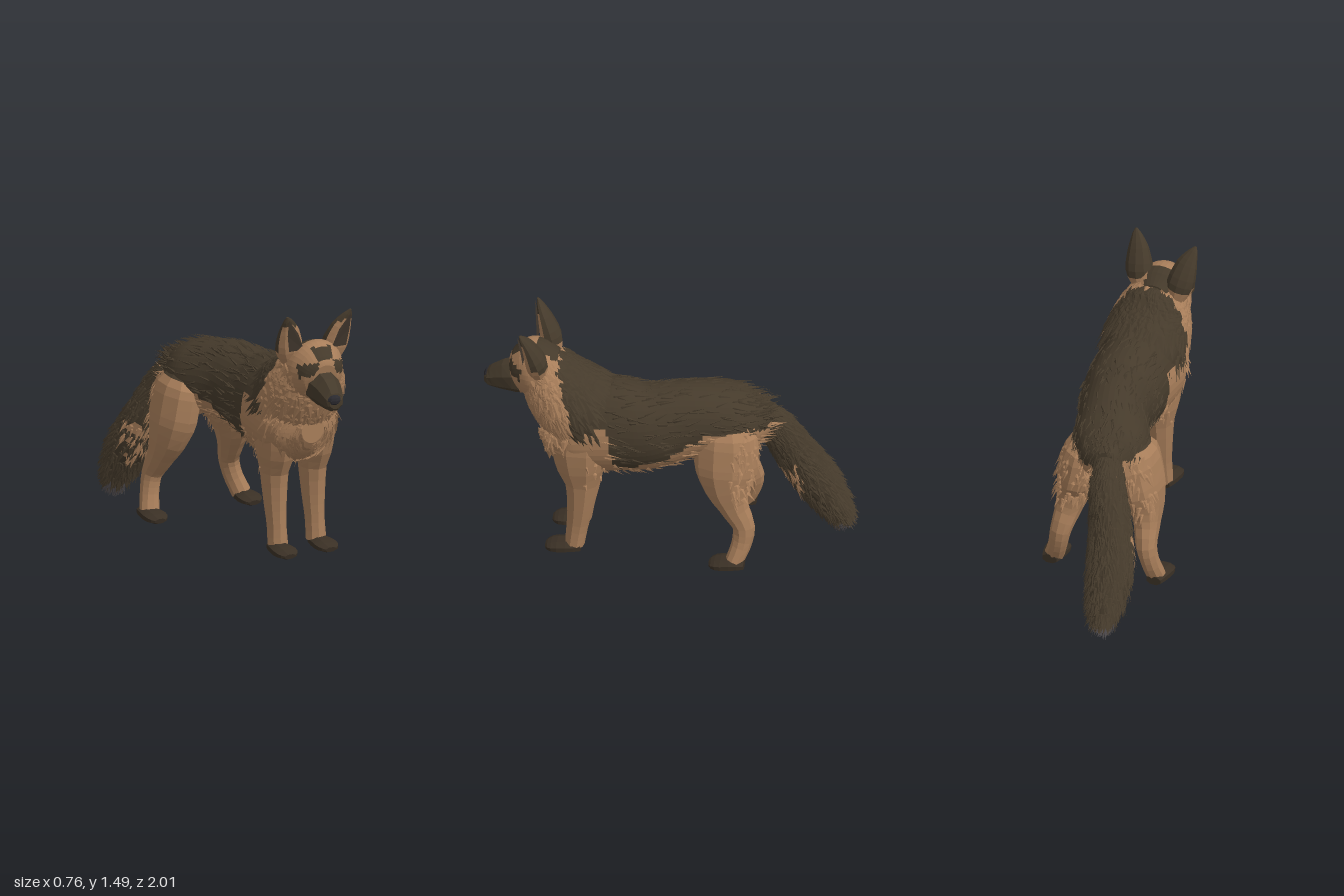
import * as THREE from 'three';

const mat = (name, color) => Object.assign(
  new THREE.MeshStandardMaterial({ color, flatShading: true, side: THREE.DoubleSide }), { name });
const MATS = [
  mat('tan coat', 0xa87e5a), mat('dark coat', 0x453a2b), mat('nose black', 0x2b2a2f),
  mat('paw brown', 0x3a3025), mat('ear lining', 0x40362c), mat('tail tip grey', 0x4a4648),
];
const [TAN, DARK, NOSE, PAW, LINING, GREY] = [0, 1, 2, 3, 4, 5];

// Seeded random numbers for the fur
let seed = 7;
const rnd = () => (seed = (seed * 16807) % 2147483647) / 2147483647;
const vec = (x, y, z) => new THREE.Vector3(x, y, z);

// Straight-line interpolation through [key, value] pairs
function ramp(points, k) {
  for (let i = 1; i < points.length; i++) {
    const [a, va] = points[i - 1], [b, vb] = points[i];
    if (k <= b) return va + (vb - va) * Math.max(0, (k - a) / (b - a));
  }
  return points[points.length - 1][1];
}

// Collects triangles by colour and makes one mesh with material groups
function meshFrom(name, buckets) {
  const g = new THREE.BufferGeometry(), all = [], used = [];
  buckets.forEach((tri, m) => {
    if (!tri.length) return;
    g.addGroup(all.length / 3, tri.length, used.length);
    used.push(MATS[m]);
    tri.forEach(p => all.push(p.x, p.y, p.z));
  });
  g.setAttribute('position', new THREE.Float32BufferAttribute(all, 3));
  g.computeVertexNormals();
  const mesh = new THREE.Mesh(g, used);
  mesh.name = name;
  return mesh;
}

// Skin over oval rings; stations are [x, y, z, halfWidth, halfDepth].
// rule(point) picks the colour; each entry of furs scatters pointed tufts.
function loft(name, stations, rings, sides, rule, furs = []) {
  const path = new THREE.CatmullRomCurve3(stations.map(s => vec(s[0], s[1], s[2])));
  const size = new THREE.CatmullRomCurve3(stations.map(s => vec(s[3], s[4], 0)));
  const frame = u => {
    const t = path.getTangent(u), side = vec(1, 0, 0).addScaledVector(t, -t.x).normalize();
    return { c: path.getPoint(u), r: size.getPoint(u), t, side, up: t.clone().cross(side) };
  };
  const at = (f, a) => f.c.clone().addScaledVector(f.side, Math.cos(a) * f.r.x)
    .addScaledVector(f.up, Math.sin(a) * f.r.y);
  const buckets = MATS.map(() => []);
  const face = (...p) => {
    const mid = vec(0, 0, 0);
    p.forEach(q => mid.addScaledVector(q, 1 / p.length));
    const b = buckets[rule(mid)];
    for (let i = 2; i < p.length; i++) b.push(p[0], p[i - 1], p[i]);
  };
  const grid = [];
  for (let i = 0; i <= rings; i++) {
    const f = frame(i / rings);
    grid.push(Array.from({ length: sides }, (_, j) => at(f, (j + 0.5) / sides * Math.PI * 2)));
  }
  for (let j = 0; j < sides; j++) {
    const k = (j + 1) % sides;
    for (let i = 0; i < rings; i++) face(grid[i][j], grid[i][k], grid[i + 1][k], grid[i + 1][j]);
    face(path.getPoint(0), grid[0][k], grid[0][j]);
    face(path.getPoint(1), grid[rings][j], grid[rings][k]);
  }
  for (const { n, len, wide, flow, lift = 0.25, drop = 0, where = () => true } of furs) {
    for (let i = 0; i < n; i++) {
      const f = frame(rnd()), a = rnd() * Math.PI * 2, p = at(f, a);
      if (!where(p)) continue;
      const out = f.side.clone().multiplyScalar(Math.cos(a) / Math.max(f.r.x, 0.01))
        .addScaledVector(f.up, Math.sin(a) / Math.max(f.r.y, 0.01)).normalize();
      const dir = f.t.clone().multiplyScalar(flow).add(vec(0, -drop, 0));
      dir.addScaledVector(out, -dir.dot(out)).normalize();
      const across = dir.clone().cross(out).normalize();
      dir.addScaledVector(across, (rnd() - 0.5) * 0.7).addScaledVector(out, lift * (0.6 + 0.8 * rnd())).normalize();
      const l = len * (0.7 + 0.6 * rnd()), w = wide * (0.7 + 0.6 * rnd());
      const root = p.clone().addScaledVector(out, -0.006).addScaledVector(dir, -l * 0.3);
      const tip = p.clone().addScaledVector(dir, l * 0.7);
      const ridge = p.clone().addScaledVector(out, 0.006);
      const l1 = p.clone().addScaledVector(across, w / 2), r1 = p.clone().addScaledVector(across, -w / 2);
      buckets[rule(p)].push(root, ridge, l1, l1, ridge, tip, root, r1, ridge, ridge, r1, tip);
    }
  }
  return meshFrom(name, buckets);
}

// Lower edge of the dark saddle along the body, slightly ragged
const SADDLE = [[-0.6, 0.78], [-0.5, 0.82], [-0.25, 0.84], [-0.15, 0.78], [0, 0.68], [0.2, 0.63],
  [0.255, 0.66], [0.29, 0.91], [0.4, 0.89], [0.45, 0.85], [0.54, 0.87], [0.6, 1.05]];
const coat = p => (p.y > ramp(SADDLE, p.z) + 0.012 * Math.sin(p.z * 75) ? DARK : TAN);
const neckCoat = p => (p.z < 0.5 + (p.y - 0.95) * 0.25 && p.y > 0.86 ? DARK : TAN);

// Eye patches, forehead mark and dark crown
function headCoat(p) {
  const x = Math.abs(p.x - 0.112);
  if (p.z > 0.73 && x > 0.045 && x < 0.135 && Math.abs(p.y - 1.185 + x * 0.25) < 0.035) return DARK;
  if (p.z > 0.72 && x < 0.05 && p.y > 1.215 && p.y < 1.275) return DARK;
  return x < 0.075 && p.y > 1.2 && p.z < 0.7 ? DARK : TAN;
}

// Low wedge-shaped foot, heel to toes
const paw = (x, z) => loft('paw', [
  [x, 0.06, z - 0.085, 0.045, 0.028], [x, 0.061, z - 0.03, 0.063, 0.034], [x, 0.058, z + 0.04, 0.072, 0.032],
  [x, 0.052, z + 0.085, 0.062, 0.025], [x, 0.048, z + 0.105, 0.035, 0.015],
], 6, 8, () => PAW);

function ear(s) {
  const g = new THREE.Group();
  g.name = s > 0 ? 'leftEar' : 'rightEar';
  const z = s > 0 ? 0.02 : -0.02, X = d => 0.117 + s * d;
  g.add(loft('earShell', [
    [X(0.11), 1.15, 0.65 + z, 0.045, 0.045], [X(0.13), 1.25, 0.668 + z, 0.078, 0.06],
    [X(0.152), 1.36, 0.705 + z, 0.06, 0.038], [X(0.176), 1.43, 0.738 + z, 0.026, 0.016],
    [X(0.184), 1.455, 0.75 + z, 0.006, 0.004]], 12, 10,
  p => (p.z - z > 0.685 + (p.y - 1.27) * 0.36 && p.y < 1.4 || p.y < 1.22 ? TAN : DARK)));
  // Thin lining plate on the ear's front
  const L = [vec(X(0.075), 1.25, 0.736 + z), vec(X(0.165), 1.25, 0.735 + z), vec(X(0.18), 1.345, 0.746 + z),
    vec(X(0.181), 1.44, 0.764 + z), vec(X(0.115), 1.35, 0.748 + z)];
  const b = MATS.map(() => []);
  for (let i = 2; i < 5; i++) b[LINING].push(L[0], L[i - 1], L[i]);
  g.add(meshFrom('earLining', b));
  return g;
}

export function createModel() {
  const dog = new THREE.Group();
  dog.name = 'dog';

  // Trunk, rump to chest
  dog.add(loft('body', [
    [-0.08, 0.82, -0.55, 0.06, 0.085], [-0.055, 0.81, -0.46, 0.155, 0.145], [-0.02, 0.82, -0.32, 0.21, 0.2],
    [0.06, 0.83, -0.1, 0.19, 0.225], [0.11, 0.8, 0.1, 0.212, 0.25], [0.118, 0.8, 0.3, 0.225, 0.275],
    [0.122, 0.78, 0.48, 0.232, 0.25], [0.122, 0.77, 0.6, 0.185, 0.185], [0.122, 0.77, 0.67, 0.07, 0.08],
  ], 90, 40, coat, [
    { n: 1000, len: 0.1, wide: 0.013, flow: -1, lift: 0.06, where: p => p.y > 0.62 && p.z < 0.3 },
    { n: 1000, len: 0.075, wide: 0.022, flow: -1, drop: 1.2, where: p => p.y < 0.66 && p.z < 0.45 },
    { n: 900, len: 0.1, wide: 0.036, flow: -0.3, drop: 1.5, lift: 0.2, where: p => p.z > 0.5 },
  ]));

  // Neck with its ruff
  dog.add(loft('neck', [
    [0.12, 0.84, 0.36, 0.205, 0.2], [0.125, 0.93, 0.49, 0.232, 0.222], [0.125, 1.02, 0.58, 0.222, 0.195],
    [0.12, 1.11, 0.64, 0.185, 0.155], [0.115, 1.16, 0.68, 0.12, 0.1],
  ], 30, 30, neckCoat, [
    { n: 850, len: 0.115, wide: 0.042, flow: -1, drop: 0.5, lift: 0.22 },
  ]));

  // Skull with cheek fur
  dog.add(loft('head', [
    [0.115, 1.14, 0.57, 0.1, 0.1], [0.115, 1.13, 0.64, 0.165, 0.15], [0.114, 1.125, 0.72, 0.16, 0.172],
    [0.112, 1.12, 0.77, 0.138, 0.158], [0.11, 1.115, 0.81, 0.112, 0.12], [0.108, 1.11, 0.835, 0.07, 0.08],
  ], 30, 36, headCoat, [
    { n: 320, len: 0.1, wide: 0.038, flow: -1, drop: 1.2, lift: 0.22, where: p => p.z < 0.72 && p.y < 1.17 },
  ]));

  // Muzzle, nose and eyes
  dog.add(loft('muzzle', [
    [0.108, 1.05, 0.74, 0.1, 0.092], [0.105, 1.052, 0.83, 0.09, 0.1], [0.098, 1.032, 0.91, 0.07, 0.08],
    [0.09, 1.016, 0.97, 0.055, 0.055], [0.088, 1.016, 0.99, 0.035, 0.035],
  ], 8, 8, p => (p.z < 0.8 && p.y > 0.98 ? TAN : DARK)));
  const ball = (name, x, y, z, w, h, d) => {
    const b = new THREE.Mesh(new THREE.SphereGeometry(1, 8, 6), MATS[NOSE]);
    b.name = name;
    b.position.set(x, y, z);
    b.scale.set(w, h, d);
    dog.add(b);
  };
  ball('nose', 0.088, 1.03, 0.975, 0.042, 0.032, 0.025);
  for (const s of [-1, 1]) {
    ball('eye', 0.11 + s * 0.078, 1.165, 0.797, 0.016, 0.013, 0.013);
    dog.add(ear(s));
  }

  for (const s of [-1, 1]) {
    // Front leg
    const fx = 0.132 + s * 0.118, word = s > 0 ? 'left' : 'right';
    const front = new THREE.Group();
    front.name = word + 'FrontLeg';
    front.add(loft('foreleg', [
      [fx - s * 0.02, 0.88, 0.42, 0.07, 0.08], [fx, 0.76, 0.45, 0.108, 0.165], [fx, 0.6, 0.445, 0.1, 0.14],
      [fx, 0.48, 0.437, 0.075, 0.095], [fx, 0.3, 0.447, 0.061, 0.072], [fx, 0.18, 0.462, 0.053, 0.06],
      [fx, 0.07, 0.475, 0.057, 0.055],
    ], 14, 9, p => (p.y > 0.9 ? DARK : TAN), [
      { n: 90, len: 0.06, wide: 0.02, flow: 1, lift: 0.2, where: p => p.y > 0.5 && p.z < 0.42 },
    ]), paw(fx + s * 0.008, 0.525));

    // Hind leg
    const X = d => -0.025 + s * d, z = -0.015 * s, foot = s > 0 ? 0.308 : 0.292;
    const hind = new THREE.Group();
    hind.name = word + 'HindLeg';
    hind.add(loft('hindleg', [
      [X(0.12), 0.87, -0.32, 0.06, 0.09], [X(0.145), 0.76, -0.325, 0.118, 0.175], [X(0.175), 0.61, -0.325, 0.12, 0.176],
      [X(0.205), 0.49, -0.335, 0.096, 0.135], [X(0.225), 0.38, -0.375, 0.072, 0.085], [X(0.245), 0.27, -0.432, 0.058, 0.063],
      [X(0.265), 0.17, -0.425, 0.053, 0.055], [X(foot - 0.008), 0.07, -0.39, 0.056, 0.05],
    ].map(([x, y, d, w, h]) => [x, y, d + z, w, h]), 18, 10, p => (p.y > 0.84 ? DARK : TAN), [
      { n: 420, len: 0.08, wide: 0.026, flow: 1, lift: 0.22, where: p => p.y > 0.45 && p.z < -0.38 },
    ]), paw(X(foot), -0.36 + z));
    dog.add(front, hind);
  }

  // Bushy tail with a lighter patch underneath
  dog.add(loft('tail', [
    [-0.075, 0.83, -0.48, 0.07, 0.08], [-0.11, 0.71, -0.575, 0.092, 0.095], [-0.165, 0.52, -0.665, 0.113, 0.108],
    [-0.205, 0.34, -0.765, 0.125, 0.115], [-0.22, 0.19, -0.855, 0.102, 0.092], [-0.225, 0.1, -0.905, 0.065, 0.06],
    [-0.225, 0.06, -0.925, 0.02, 0.02],
  ], 40, 24, p => {
    if (p.y < 0.09) return GREY;
    const patch = p.y > 0.27 && p.y < 0.5 && p.z > -0.7 && Math.sin(p.y * 70 + p.x * 45) > -0.1;
    return patch ? TAN : DARK;
  }, [{ n: 1500, len: 0.095, wide: 0.026, flow: 1, lift: 0.25 }]));
  return dog;
}
